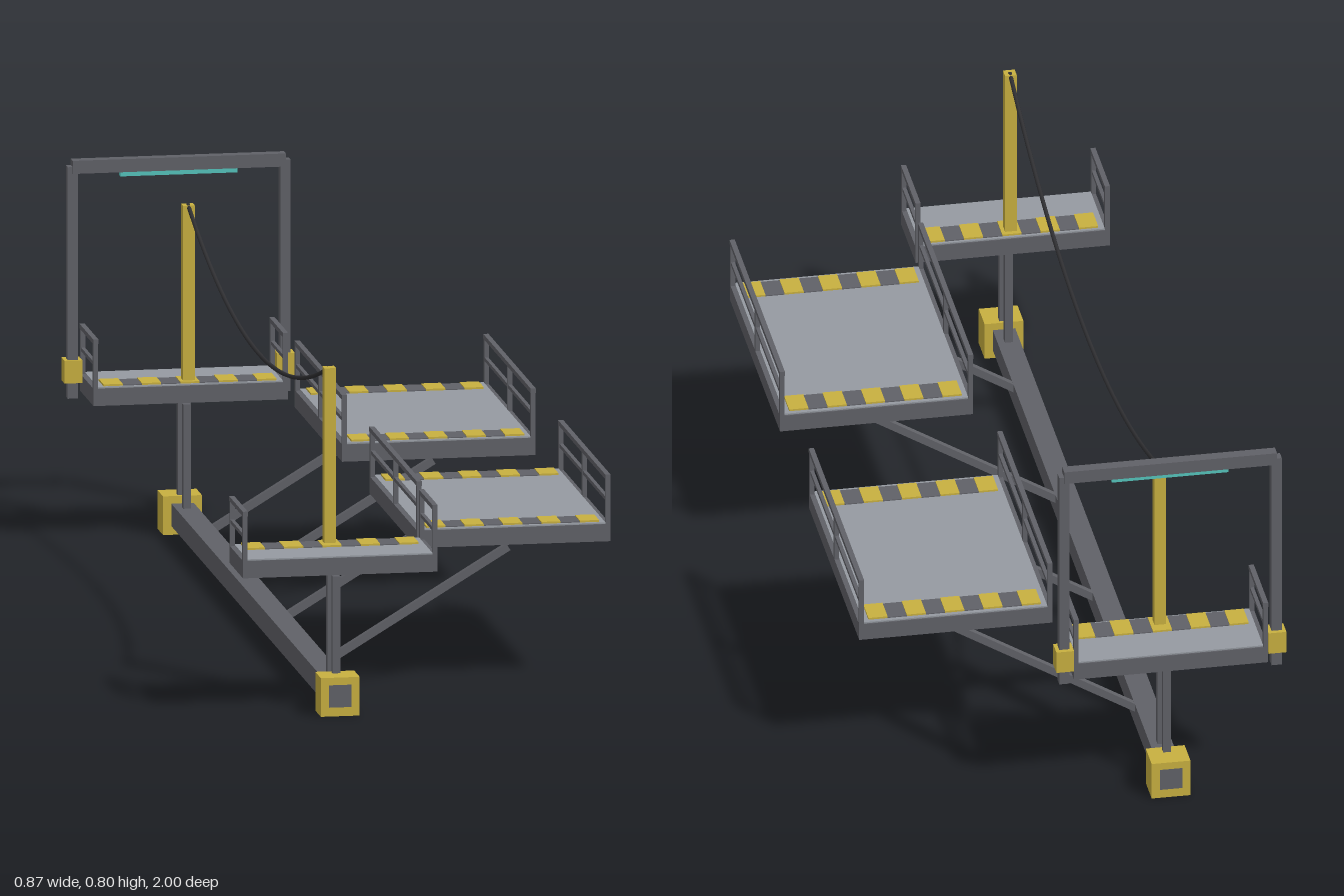
import * as THREE from 'three';

const mat = (name, color) => Object.assign(new THREE.MeshStandardMaterial({ color }), { name });
const STEEL = mat('dark steel', 0x606167);
const DECK = mat('deck grey', 0x959aa1);
const YELLOW = mat('safety yellow', 0xc8b040);
const TEAL = mat('teal light', 0x55c4bc);
const CABLE = mat('cable black', 0x303033);

// Box given by its centre and size
function box(parent, name, m, [x, y, z], [w, h, d]) {
  const mesh = new THREE.Mesh(new THREE.BoxGeometry(w, h, d), m);
  mesh.position.set(x, y, z);
  mesh.name = name;
  parent.add(mesh);
  return mesh;
}

// Framed deck with hazard strips (local z positions) and side railings
function platform(name, x, z, w, d, strips, postZ) {
  const g = new THREE.Group();
  g.name = name;
  g.position.set(x, 0, z);
  const f = 0.034, midY = 0.3215, h = 0.037;
  for (const s of [-1, 1]) {
    box(g, 'sideFrame', STEEL, [s * (w - f) / 2, midY, 0], [f, h, d]);
    box(g, 'endFrame', STEEL, [0, midY, s * (d - f) / 2], [w - 2 * f, h, f]);
    // Railing
    const rx = s * (w / 2 - 0.005);
    for (const pz of postZ) box(g, 'railPost', STEEL, [rx, 0.39, pz], [0.01, 0.108, 0.01]);
    box(g, 'topRail', STEEL, [rx, 0.441, 0], [0.011, 0.01, d]);
    box(g, 'midRail', STEEL, [rx, 0.393, 0], [0.008, 0.008, d]);
  }
  box(g, 'deckPlate', DECK, [0, 0.337, 0], [w - 0.02, 0.012, d - 0.006]);
  // Hazard strips: nine alternating blocks
  for (const sz of strips) {
    for (let i = 0; i < 9; i++) {
      const yellow = i % 2 === 0;
      const t = yellow ? 0.004 : 0.002;
      box(g, 'hazardBlock', yellow ? YELLOW : STEEL,
        [(i - 4) * 0.041, 0.343 + t / 2, sz], [0.041, t, 0.06]);
    }
  }
  return g;
}

export function createModel() {
  const model = new THREE.Group();
  model.name = 'dockingPlatform';
  const body = new THREE.Group();
  body.name = 'structure';
  body.position.z = 0.002;
  model.add(body);
  const cx = -0.188;

  // Keel beam along the length
  box(body, 'keelBeam', STEEL, [cx, 0.043, 0], [0.048, 0.048, 1.9965]);

  for (const s of [-1, 1]) {
    // End cap, end platform, its struts and mast
    box(body, 'endCap', YELLOW, [cx, 0.0415, s * 0.964], [0.083, 0.083, 0.068]);
    body.add(platform('endPlatform', cx, s * 0.9135, 0.415, 0.168, [-s * 0.045], [-0.079, 0.079]));
    for (const z of [0.88, 0.945])
      box(body, 'strut', STEEL, [cx, 0.175, s * z], [0.017, 0.232, 0.016]);
    box(body, 'mast', YELLOW, [cx, 0.5325, s * 0.862], [0.025, 0.379, 0.025]);

    // Side platform with two diagonal braces
    body.add(platform('sidePlatform', 0.226, s * 0.457, 0.413, 0.58,
      [-0.248, 0.248], [-0.285, 0, 0.285]));
    for (const z of [0.215, 0.7]) {
      const a = new THREE.Vector2(cx, 0.043), b = new THREE.Vector2(0.222, 0.29);
      const brace = box(body, 'diagonalBrace', STEEL,
        [(a.x + b.x) / 2, (a.y + b.y) / 2, s * z], [a.distanceTo(b), 0.016, 0.016]);
      brace.rotation.z = Math.atan2(b.y - a.y, b.x - a.x);
    }
  }

  // Sagging cable between the mast tops
  const pts = [];
  for (let i = -8; i <= 8; i++) {
    const t = i / 8;
    pts.push(new THREE.Vector3(cx, 0.577 + 0.144 * t * t, t * 0.862));
  }
  const cable = new THREE.Mesh(
    new THREE.TubeGeometry(new THREE.CatmullRomCurve3(pts), 32, 0.0045, 8), CABLE);
  cable.name = 'cable';
  body.add(cable);

  // Portal frame at the rear
  const pz = -0.981;
  for (const s of [-1, 1]) {
    const x = cx + s * 0.227;
    box(body, 'portalPost', STEEL, [x, 0.54, pz], [0.022, 0.497, 0.022]);
    box(body, 'portalClamp', YELLOW, [x, 0.35, pz - 0.002], [0.038, 0.049, 0.038]);
  }
  box(body, 'portalBeam', STEEL, [cx, 0.788, pz], [0.455, 0.028, 0.025]);
  box(body, 'portalLight', TEAL, [cx, 0.769, pz], [0.25, 0.01, 0.014]);

  return model;
}
